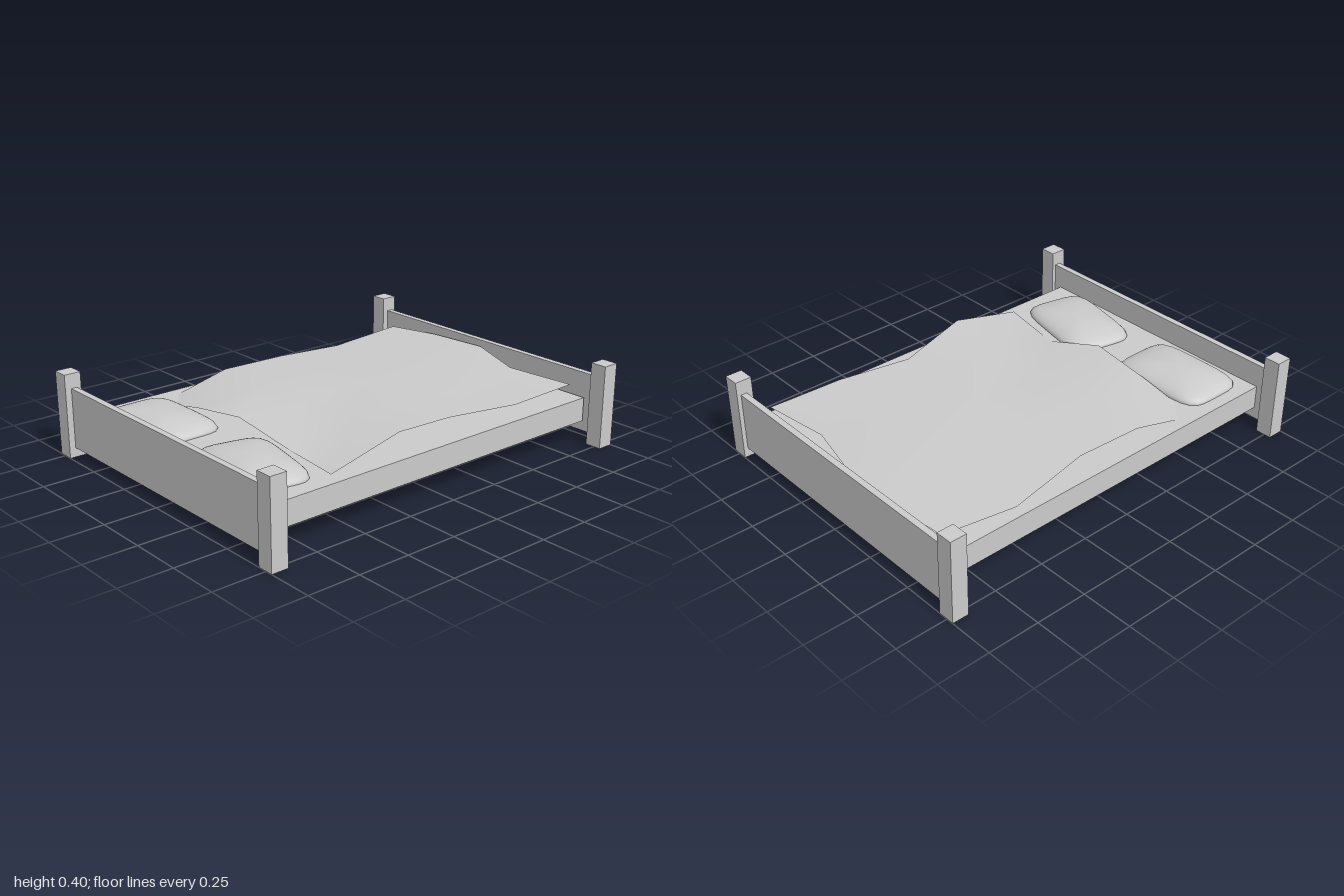
import * as THREE from 'three';
import { mergeVertices } from 'three/addons/utils/BufferGeometryUtils.js';

const grey = new THREE.MeshStandardMaterial({ color: 0xcccccc });
const cloth = new THREE.MeshStandardMaterial({ color: 0xcccccc, side: THREE.DoubleSide });

function addMesh(parent, name, geometry, x, y, z, material = grey) {
  const mesh = new THREE.Mesh(geometry, material);
  mesh.name = name;
  mesh.position.set(x, y, z);
  parent.add(mesh);
  return mesh;
}

// Post with an open foot: the downward face is left out
function postGeometry() {
  const geo = new THREE.BoxGeometry(0.08, 0.4, 0.08);
  geo.setIndex(Array.from(geo.index.array).filter((_, i) => i < 18 || i >= 24));
  geo.clearGroups();
  return geo;
}

// Sphere squared off in plan into a soft cushion
function pillowGeometry(width, height, length) {
  let geo = new THREE.SphereGeometry(1, 40, 24);
  geo.deleteAttribute('uv');
  geo.deleteAttribute('normal');
  geo = mergeVertices(geo, 1e-5);
  const p = geo.attributes.position;
  for (let i = 0; i < p.count; i++) {
    const x = p.getX(i), z = p.getZ(i), r = Math.hypot(x, z);
    const s = r < 1e-4 ? 1 : r / Math.pow(Math.abs(x) ** 5 + Math.abs(z) ** 5, 0.2);
    p.setXYZ(i, x * s * width / 2, p.getY(i) * height / 2, z * s * length / 2);
  }
  geo.computeVertexNormals();
  return geo;
}

// Rumpled sheet: rows run from back to front, each point is x, y, z
function blanketGeometry() {
  const rows = [
    [[-0.56, 0.19, -0.61], [-0.2, 0.28, -0.6], [0.13, 0.28, -0.585], [0.53, 0.24, -0.63], [0.9, 0.275, -0.605]],
    [[-0.56, 0.25, -0.31], [-0.19, 0.285, -0.3], [0.17, 0.28, -0.3], [0.53, 0.25, -0.3], [0.935, 0.29, -0.33]],
    [[-0.56, 0.295, 0], [-0.19, 0.275, 0], [0.17, 0.295, 0], [0.53, 0.26, 0], [0.93, 0.305, 0]],
    [[-0.51, 0.217, 0.28], [-0.19, 0.285, 0.3], [0.17, 0.28, 0.29], [0.53, 0.255, 0.3], [0.855, 0.28, 0.27]],
    [[-0.56, 0.228, 0.61], [-0.19, 0.315, 0.61], [0.17, 0.27, 0.54], [0.52, 0.265, 0.61], [0.895, 0.275, 0.61]],
  ];
  const geo = new THREE.PlaneGeometry(1, 1, 4, 4);
  rows.flat().forEach((v, i) => geo.attributes.position.setXYZ(i, ...v));
  geo.computeVertexNormals();
  return geo;
}

export function createModel() {
  const bed = new THREE.Group();
  bed.name = 'bed';

  // Corner posts
  for (const sx of [-1, 1])
    for (const sz of [-1, 1])
      addMesh(bed, 'cornerPost', postGeometry(), sx * 0.96, 0.2, sz * 0.745);

  // End boards
  const board = new THREE.BoxGeometry(0.03, 0.285, 1.41);
  addMesh(bed, 'headboard', board, -0.955, 0.1875, 0);
  addMesh(bed, 'footboard', board, 0.965, 0.1875, 0);

  // Mattress
  addMesh(bed, 'mattress', new THREE.BoxGeometry(1.875, 0.115, 1.325), -0.0025, 0.1575, 0);

  // Blanket
  addMesh(bed, 'blanket', blanketGeometry(), 0, 0, 0, cloth);

  // Pillows, one lying askew
  const pillow = pillowGeometry(0.34, 0.12, 0.51);
  addMesh(bed, 'backPillow', pillow, -0.735, 0.217, -0.345);
  addMesh(bed, 'frontPillow', pillow, -0.73, 0.217, 0.315).rotation.y = -0.21;

  return bed;
}
